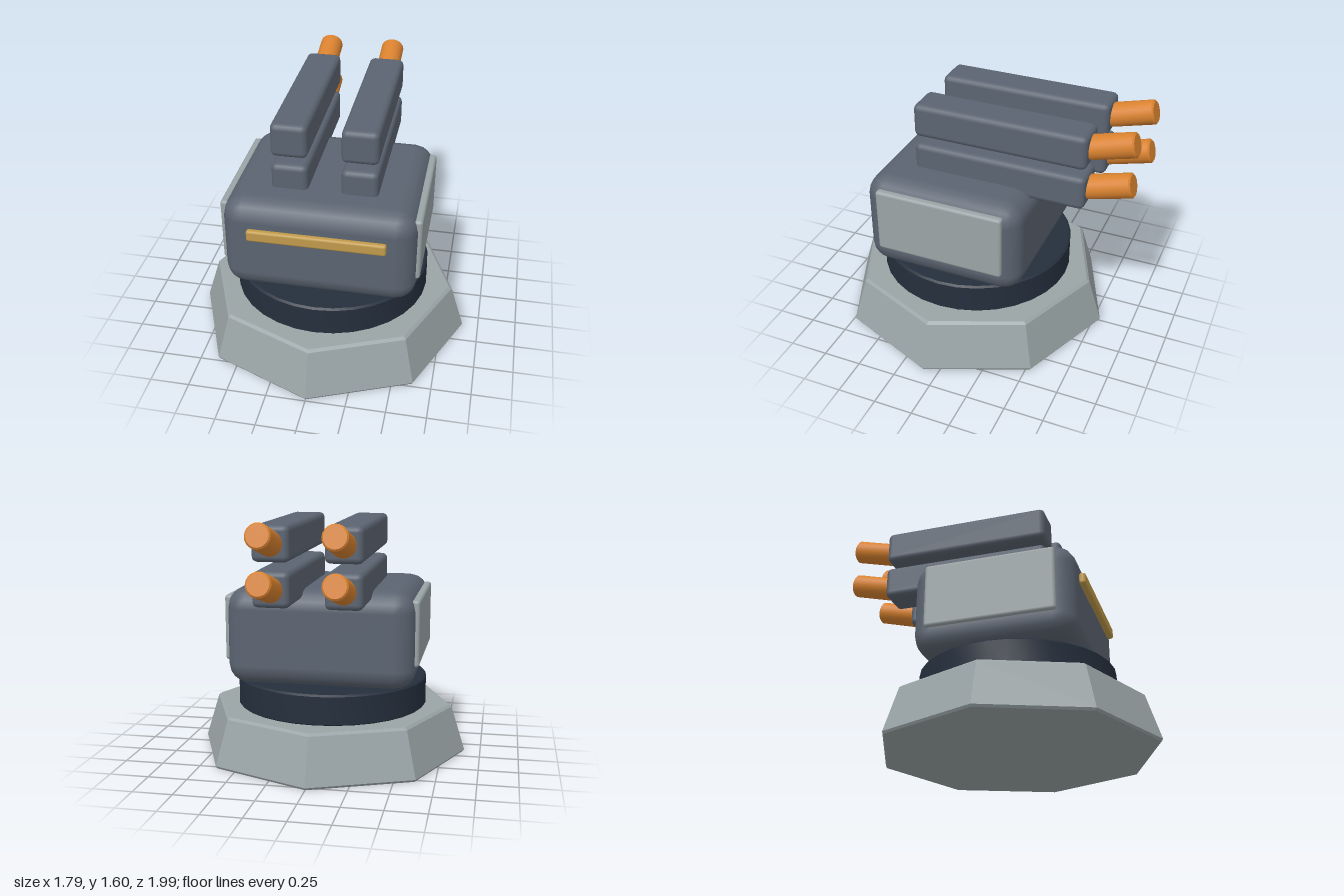
import * as THREE from 'three';
import { toCreasedNormals } from 'three/addons/utils/BufferGeometryUtils.js';
import { RoundedBoxGeometry } from 'three/addons/geometries/RoundedBoxGeometry.js';

const material = (name, color) => {
  const m = new THREE.MeshStandardMaterial({ color });
  m.name = name;
  return m;
};

// Solid of revolution with a small chamfer on its bottom and top rims
function chamferedDrum(rBottom, rTop, height, bevel, sides, crease) {
  const lean = (rBottom - rTop) * bevel / height;
  const profile = [
    [0, 0], [rBottom - bevel, 0], [rBottom - lean, bevel],
    [rTop + lean, height - bevel], [rTop - bevel, height], [0, height],
  ].map(([x, y]) => new THREE.Vector2(x, y));
  return toCreasedNormals(new THREE.LatheGeometry(profile, sides), crease);
}

export function createModel() {
  const model = new THREE.Group();
  model.name = 'turret';
  const paleGrey = material('pale grey', 0x9aa4a6);
  const slate = material('slate', 0x5b6471);
  const navy = material('dark navy', 0x252f3d);
  const orange = material('orange', 0xd9822f);
  const gold = material('gold', 0xc09a4a);

  const add = (name, geometry, mat, x, y, z) => {
    const mesh = new THREE.Mesh(geometry, mat);
    mesh.name = name;
    mesh.position.set(x, y, z);
    model.add(mesh);
    return mesh;
  };

  // Octagonal foot and turning ring
  add('base', chamferedDrum(0.9, 0.8, 0.32, 0.015, 8, 0.3), paleGrey, 0, 0, 0.1);
  add('swivelRing', chamferedDrum(0.63, 0.63, 0.2, 0.012, 32, 0.5), navy, 0, 0.315, 0.1);

  // Rounded housing with a front strip
  add('housing', new RoundedBoxGeometry(1.2, 0.62, 1.03, 2, 0.13), slate, 0, 0.825, 0.102);
  add('frontStrip', new RoundedBoxGeometry(0.85, 0.075, 0.042, 2, 0.016), gold, 0, 0.942, 0.637);

  const panel = new RoundedBoxGeometry(0.055, 0.42, 0.83, 2, 0.02);
  const barrel = new RoundedBoxGeometry(0.228, 0.216, 1.1, 2, 0.035);
  const nozzle = chamferedDrum(0.076, 0.076, 0.29, 0.01, 20, 0.5);
  nozzle.translate(0, -0.145, 0);

  // Side panels and two stacked barrels on each side, nozzles tilted upward at the back
  for (const [side, s] of [['left', 1], ['right', -1]]) {
    add(side + 'Panel', panel, paleGrey, s * 0.592, 0.87, 0.1);
    for (const [level, y] of [['Lower', 1.183], ['Upper', 1.452]]) {
      add(side + level + 'Barrel', barrel, slate, s * 0.216, y, -0.17);
      const tip = add(side + level + 'Nozzle', nozzle, orange, s * 0.216, y + 0.036, -0.842);
      tip.rotation.x = -Math.PI / 2 + THREE.MathUtils.degToRad(15);
    }
  }
  return model;
}
